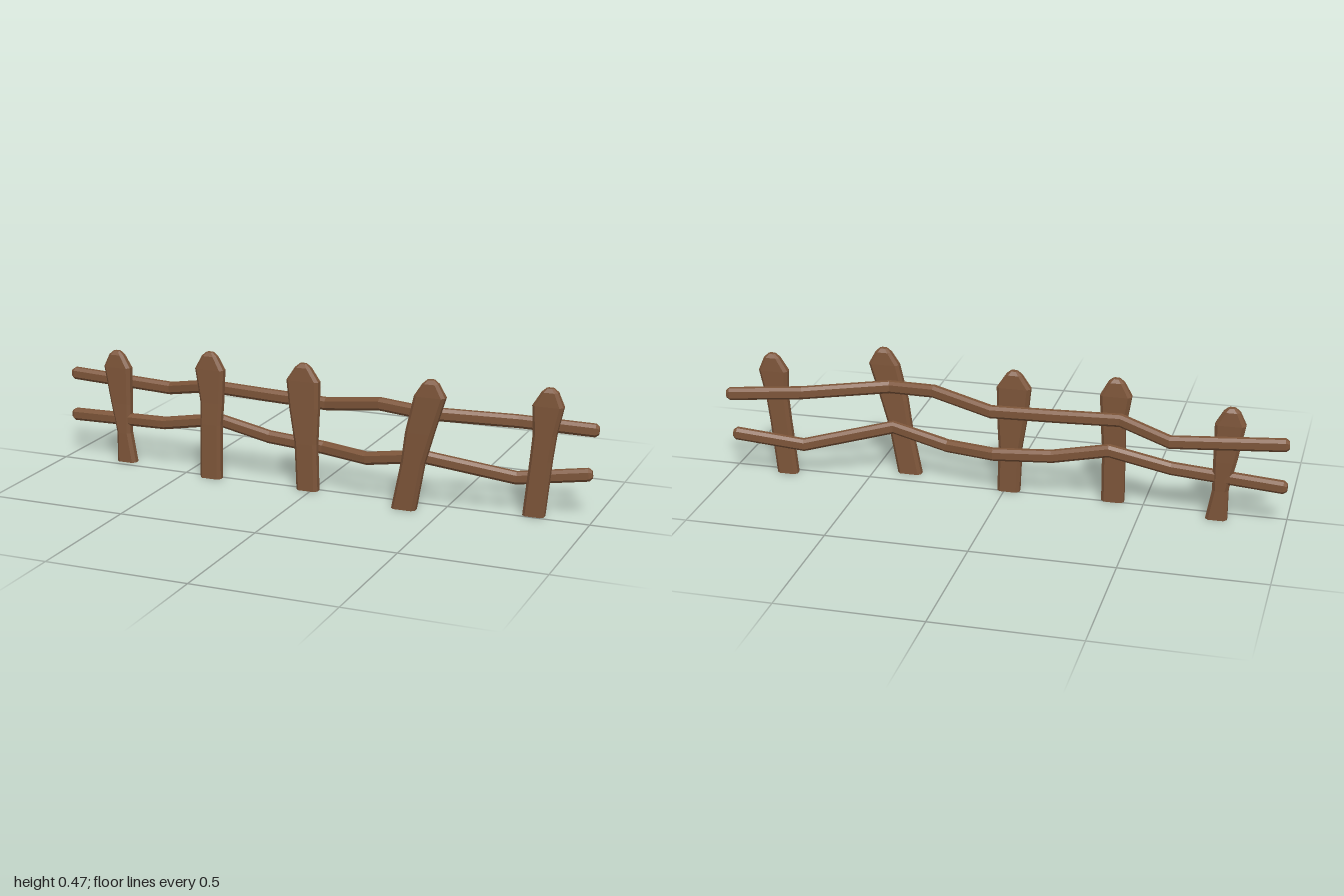
import * as THREE from 'three';

const wood = new THREE.MeshStandardMaterial({ color: 0x7d5539, flatShading: true });

// Joins octagonal rings (chamfered rectangles) into a closed solid.
// Each ring: centre c, axes u and v, half sizes a and b, chamfer k.
function loft(name, rings) {
  const loops = rings.map(({ c, u, v, a, b, k }) =>
    [[a, -b + k], [a, b - k], [a - k, b], [k - a, b], [-a, b - k], [-a, k - b], [k - a, -b], [a - k, -b]]
      .map(([p, q]) => c.clone().addScaledVector(u, p).addScaledVector(v, q)));
  const pos = [];
  const tri = (...pts) => pts.forEach((p) => pos.push(p.x, p.y, p.z));
  for (let i = 0; i < loops.length - 1; i++) {
    for (let j = 0; j < 8; j++) {
      const n = (j + 1) % 8, lo = loops[i], hi = loops[i + 1];
      tri(lo[j], lo[n], hi[n]);
      tri(lo[j], hi[n], hi[j]);
    }
  }
  const first = loops[0], last = loops[loops.length - 1];
  for (let j = 1; j < 7; j++) {
    tri(first[0], first[j + 1], first[j]);
    tri(last[0], last[j], last[j + 1]);
  }
  const geo = new THREE.BufferGeometry();
  geo.setAttribute('position', new THREE.Float32BufferAttribute(pos, 3));
  geo.computeVertexNormals();
  const mesh = new THREE.Mesh(geo, wood);
  mesh.name = name;
  return mesh;
}

const X = new THREE.Vector3(1, 0, 0), Y = new THREE.Vector3(0, 1, 0), Z = new THREE.Vector3(0, 0, 1);

// Post: levels of [y, left edge x, right edge x, z], then a pointed top at [tip x, tip y]
function makePost({ levels, tip }) {
  const rings = levels.map(([y, x0, x1, z]) => ({
    c: new THREE.Vector3((x0 + x1) / 2, y, z), u: Z, v: X, a: 0.021, b: (x1 - x0) / 2, k: 0.011,
  }));
  const z = levels[levels.length - 1][3];
  rings.push({ c: new THREE.Vector3(tip[0], tip[1] - 0.013, z), u: Z, v: X, a: 0.018, b: 0.028, k: 0.01 });
  rings.push({ c: new THREE.Vector3(tip[0], tip[1], z), u: Z, v: X, a: 0.01, b: 0.013, k: 0.005 });
  return loft('post', rings);
}

// Rail: octagonal bar mitred along a bent path, with bevelled ends
function makeRail(name, path) {
  const pts = path.map((p) => new THREE.Vector3(...p));
  const last = pts.length - 1;
  const rings = [];
  pts.forEach((p, i) => {
    const t = pts[Math.min(i + 1, last)].clone().sub(pts[Math.max(i - 1, 0)]).normalize();
    const v = new THREE.Vector3(-t.z, 0, t.x).normalize();
    const u = new THREE.Vector3().crossVectors(v, t).normalize();
    const ring = (shift, s) => ({
      c: p.clone().addScaledVector(t, shift), u, v, a: 0.022 * s, b: 0.018 * s, k: 0.01 * s,
    });
    if (i === 0) rings.push(ring(0, 0.6), ring(0.012, 1));
    else if (i === last) rings.push(ring(-0.012, 1), ring(0, 0.6));
    else rings.push(ring(0, 1));
  });
  return loft(name, rings);
}

export function createModel() {
  const group = new THREE.Group();
  group.name = 'fence';

  // Five crooked posts
  const posts = [
    { levels: [[0, -0.8, -0.725, -0.046], [0.11, -0.8, -0.745, -0.048], [0.22, -0.825, -0.745, -0.053],
      [0.355, -0.85, -0.745, -0.055]], tip: [-0.8, 0.415] },
    { levels: [[0, -0.43, -0.35, 0.014], [0.2, -0.43, -0.35, 0.01], [0.28, -0.43, -0.345, 0.006],
      [0.4, -0.45, -0.34, 0.003]], tip: [-0.395, 0.462] },
    { levels: [[0, -0.055, 0.025, 0.012], [0.17, -0.063, 0.02, 0.01], [0.3, -0.085, 0.025, 0.007],
      [0.395, -0.095, 0.025, 0.005]], tip: [-0.035, 0.456] },
    { levels: [[0, 0.325, 0.412, 0.076], [0.17, 0.36, 0.443, 0.081], [0.28, 0.375, 0.475, 0.084],
      [0.41, 0.405, 0.515, 0.086]], tip: [0.462, 0.468] },
    { levels: [[0, 0.762, 0.838, -0.024], [0.2, 0.782, 0.858, -0.022], [0.29, 0.79, 0.87, -0.021],
      [0.39, 0.785, 0.892, -0.021]], tip: [0.843, 0.452] },
  ];
  posts.forEach((p) => group.add(makePost(p)));

  // Two wavy rails behind the posts
  group.add(makeRail('upperRail', [
    [-1, 0.308, -0.075], [-0.6, 0.285, -0.09], [-0.42, 0.325, -0.036], [-0.2, 0.317, -0.033],
    [0.04, 0.31, -0.03], [0.26, 0.346, 0.022], [0.43, 0.338, 0.046], [0.73, 0.32, -0.042], [1, 0.306, -0.08],
  ]));
  group.add(makeRail('lowerRail', [
    [-1, 0.15, -0.07], [-0.6, 0.166, -0.038], [-0.38, 0.206, -0.03], [-0.18, 0.164, -0.03],
    [0.03, 0.149, -0.028], [0.21, 0.144, 0.018], [0.42, 0.184, 0.045], [0.73, 0.12, -0.042], [0.985, 0.154, -0.072],
  ]));
  return group;
}
